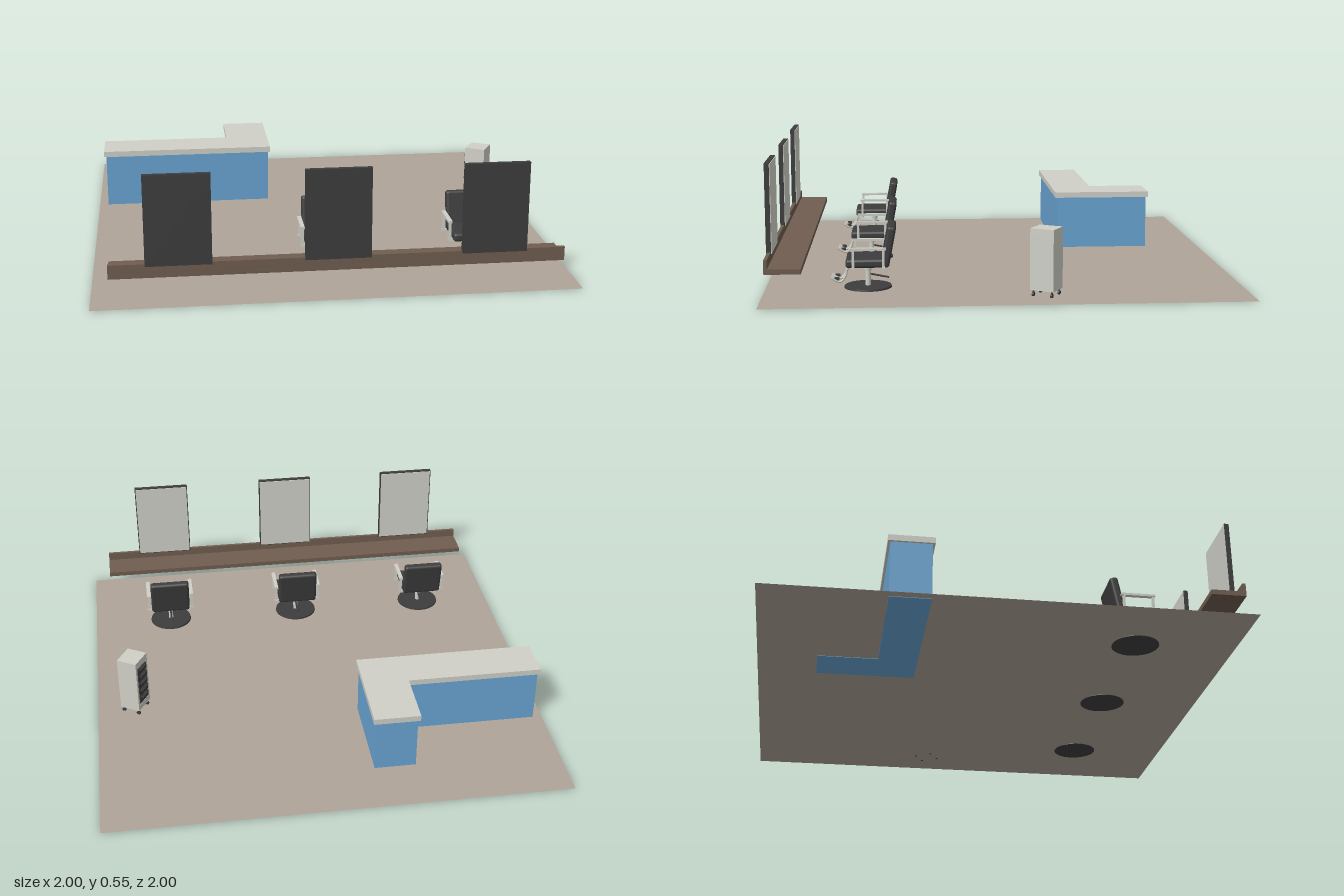
import * as THREE from 'three';
import { RoundedBoxGeometry } from 'three/addons/geometries/RoundedBoxGeometry.js';

const material = (name, color, extra = {}) => {
  const m = new THREE.MeshStandardMaterial({ color, ...extra });
  m.name = name;
  return m;
};

export function createModel() {
  const white = material('pale grey', 0xd0d0c8);
  const blue = material('counter blue', 0x69a4d2);
  const floorTone = material('floor taupe', 0xafa499, { side: THREE.DoubleSide });
  const wood = material('dark wood', 0x6f5d4f);
  const black = material('soft black', 0x3d3d3e);

  const model = new THREE.Group();
  model.name = 'salonInterior';

  const add = (parent, name, geometry, mat, x = 0, y = 0, z = 0) => {
    const mesh = new THREE.Mesh(geometry, mat);
    mesh.name = name;
    mesh.position.set(x, y, z);
    parent.add(mesh);
    return mesh;
  };
  // Box given by its limits on each axis
  const box = (parent, name, mat, [x0, x1], [y0, y1], [z0, z1]) =>
    add(parent, name, new THREE.BoxGeometry(x1 - x0, y1 - y0, z1 - z0), mat,
      (x0 + x1) / 2, (y0 + y1) / 2, (z0 + z1) / 2);
  const group = (name, x = 0, z = 0) => {
    const g = new THREE.Group();
    g.name = name;
    g.position.set(x, 0, z);
    model.add(g);
    return g;
  };

  // Floor sheet
  add(model, 'floor', new THREE.PlaneGeometry(2, 2).rotateX(-Math.PI / 2), floorTone, 0, 0.002, 0);

  // L-shaped reception counter
  const counter = group('receptionCounter');
  const lShape = (inset, height) => {
    const x0 = -0.97 + inset, x1 = -0.372 + inset, x2 = -0.17 - inset;
    const z0 = 0.307 + inset, z1 = 0.497 - inset, z2 = 0.757 - inset;
    const shape = new THREE.Shape([[x0, z0], [x2, z0], [x2, z2], [x1, z2], [x1, z1], [x0, z1]]
      .map(([x, z]) => new THREE.Vector2(x, z)));
    return new THREE.ExtrudeGeometry(shape, { depth: height, bevelEnabled: false }).rotateX(-Math.PI / 2);
  };
  add(counter, 'counterBody', lShape(0.01, 0.245), blue);
  add(counter, 'counterTop', lShape(0, 0.026), white, 0, 0.245, 0);

  // Long wooden shelf with an upstand
  const shelf = group('stylingShelf');
  box(shelf, 'shelfBoard', wood, [-0.923, 0.92], [0.122, 0.143], [0.83, 0.977]);
  box(shelf, 'shelfUpstand', wood, [-0.923, 0.92], [0.143, 0.18], [0.963, 0.977]);

  // Styling chair, facing +z
  const chairZ = 0.573;
  const makeChair = (x) => {
    const chair = group('stylingChair', x, chairZ);
    add(chair, 'baseDisc', new THREE.CylinderGeometry(0.098, 0.1, 0.01, 40), black, 0, 0.005, 0);
    add(chair, 'column', new THREE.CylinderGeometry(0.011, 0.011, 0.07, 20), white, 0, 0.042, 0);
    add(chair, 'columnTop', new THREE.CylinderGeometry(0.017, 0.014, 0.03, 20), white, 0, 0.087, 0);
    add(chair, 'seat', new RoundedBoxGeometry(0.186, 0.036, 0.18, 3, 0.012), black, 0, 0.118, 0);
    const back = add(chair, 'backrest', new RoundedBoxGeometry(0.187, 0.172, 0.036, 3, 0.012),
      black, 0, 0.187, -0.087);
    back.rotation.x = -0.19;

    // Pump lever
    const lever = new THREE.LineCurve3(new THREE.Vector3(0, 0.06, 0), new THREE.Vector3(0, 0.042, -0.088));
    add(chair, 'lever', new THREE.TubeGeometry(lever, 1, 0.004, 8), black);

    for (const s of [-1, 1]) {
      // Open armrest frame
      const arm = new THREE.Group();
      arm.name = 'armrest';
      chair.add(arm);
      const ax = s * 0.105;
      add(arm, 'armTop', new THREE.BoxGeometry(0.018, 0.01, 0.145), white, ax, 0.183, -0.006);
      for (const z of [-0.066, 0.058]) {
        add(arm, 'armPost', new THREE.BoxGeometry(0.012, 0.075, 0.01), white, ax, 0.142, z);
        add(arm, 'armBracket', new THREE.BoxGeometry(0.05, 0.01, 0.012), white, s * 0.088, 0.103, z);
      }
      // Curved footrest tube
      const curve = new THREE.CatmullRomCurve3([[0.06, 0.104], [0.083, 0.09], [0.092, 0.06],
        [0.11, 0.034], [0.13, 0.036], [0.152, 0.05]].map(([z, y]) => new THREE.Vector3(s * 0.036, y, z)));
      add(chair, 'footrestTube', new THREE.TubeGeometry(curve, 16, 0.005, 8), white);
      add(chair, 'footrestPad', new THREE.BoxGeometry(0.02, 0.01, 0.02), black, s * 0.037, 0.046, 0.128);
    }
    const plate = add(chair, 'footPlate', new THREE.BoxGeometry(0.096, 0.006, 0.026), white, 0, 0.046, 0.14);
    plate.rotation.x = -0.5;
  };

  // Three stations: framed mirror and chair
  for (const x of [-0.644, -0.008, 0.628]) {
    const mirror = group('mirror', x);
    box(mirror, 'mirrorFrame', black, [-0.133, 0.133], [0.17, 0.546], [0.961, 0.981]);
    box(mirror, 'mirrorGlass', white, [-0.129, 0.129], [0.174, 0.542], [0.958, 0.962]);
    makeChair(x - 0.002);
  }

  // Drawer trolley, open on its own -x side
  const trolley = group('trolley', 0.828, -0.158);
  trolley.rotation.y = -Math.PI / 6;
  const hx = 0.047, hz = 0.052;
  box(trolley, 'trolleyTop', white, [-hx, hx], [0.25, 0.283], [-hz, hz]);
  box(trolley, 'trolleyBottom', white, [-hx, hx], [0.027, 0.055], [-hz, hz]);
  box(trolley, 'trolleyBack', white, [hx - 0.006, hx], [0.055, 0.25], [-hz, hz]);
  for (const s of [-1, 1]) {
    add(trolley, 'trolleySide', new THREE.BoxGeometry(2 * hx - 0.006, 0.195, 0.012), white,
      -0.003, 0.1525, s * (hz - 0.006));
  }
  for (let i = 0; i < 5; i++) {
    const y = 0.06 + i * 0.038;
    box(trolley, 'drawer', black, [-hx - 0.002, hx - 0.008], [y, y + 0.032], [-0.039, 0.039]);
    box(trolley, 'drawerHandle', black, [-hx - 0.011, -hx], [y + 0.024, y + 0.03], [-0.026, 0.026]);
  }
  // Casters
  for (const sx of [-1, 1]) for (const sz of [-1, 1]) {
    add(trolley, 'casterStem', new THREE.CylinderGeometry(0.004, 0.004, 0.018, 8), black,
      sx * 0.037, 0.019, sz * 0.041);
    add(trolley, 'casterWheel', new THREE.CylinderGeometry(0.009, 0.009, 0.008, 16).rotateX(Math.PI / 2), black,
      sx * 0.037, 0.009, sz * 0.041);
  }

  return model;
}
